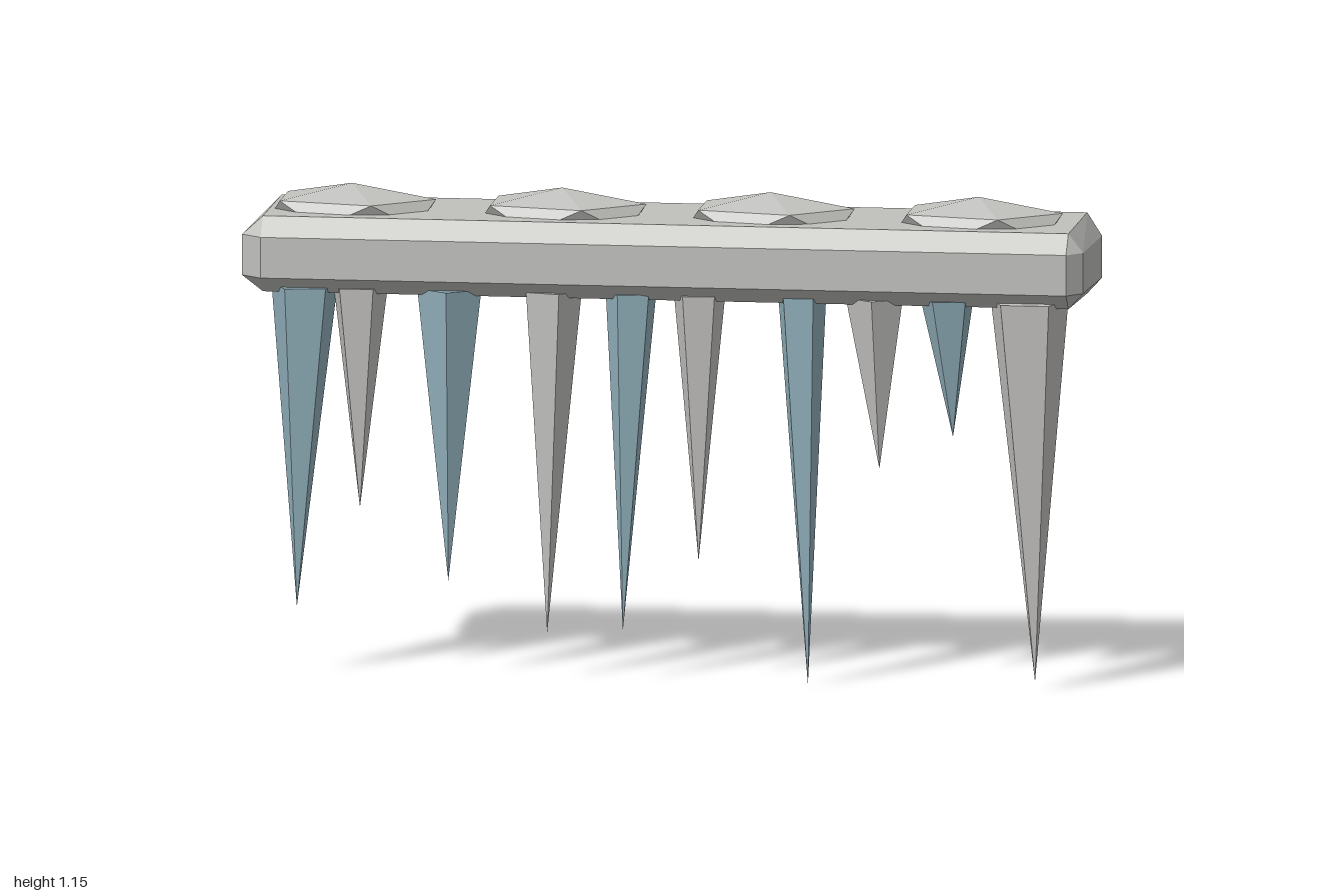
import * as THREE from 'three';
import { ConvexGeometry } from 'three/addons/geometries/ConvexGeometry.js';

const stone = new THREE.MeshStandardMaterial({ color: 0xc0c1bd });
stone.name = 'stone grey';
const paleIce = new THREE.MeshStandardMaterial({ color: 0xc5c4c2 });
paleIce.name = 'pale ice';
const blueIce = new THREE.MeshStandardMaterial({ color: 0x92b1bc });
blueIce.name = 'blue ice';

const V = (x, y, z) => new THREE.Vector3(x, y, z);

// Slightly uneven chamfered bar: three points at each of the eight corners
function beamGeometry() {
  const points = [];
  for (const sx of [-1, 1]) for (const sy of [-1, 1]) for (const sz of [-1, 1]) {
    const xIn = sx * (sx > 0 ? 0.965 : 0.95);
    const yOut = sy > 0 ? 1.097 : (sz > 0 ? 0.917 : 0.904);
    const yIn = sy > 0 ? (sz > 0 ? 1.052 : 1.042) : (sz > 0 ? 0.955 : 0.942);
    const zOut = sz > 0 ? 0.197 : -0.205;
    const zIn = sz > 0 ? 0.155 : -0.165;
    points.push(V(sx, yIn, zIn), V(xIn, yOut, zIn), V(xIn, yIn, zOut));
  }
  return new ConvexGeometry(points);
}

// Squashed twenty-sided gem with its poles along y
function knobGeometry() {
  const ry = 0.063;
  const points = [V(0, ry, 0), V(0, -ry, 0)];
  for (let i = 0; i < 10; i++) {
    const a = i * Math.PI / 5;
    const up = i % 2 === 0 ? 1 : -1;
    points.push(V(0.2 * Math.cos(a), up * ry * 0.447, 0.125 * Math.sin(a)));
  }
  return new ConvexGeometry(points);
}

// Five-sided spike hanging from y = 0.93, leaning to its tip
function icicleGeometry(x, r, tipX, tipY, turn) {
  const top = 0.93, h = top - tipY;
  const g = new THREE.ConeGeometry(r, h, 5, 1).toNonIndexed();
  g.rotateX(Math.PI).rotateY(turn).translate(x, top - h / 2, 0.123);
  const p = g.attributes.position;
  for (let i = 0; i < p.count; i++) {
    const t = (top - p.getY(i)) / h;
    p.setX(i, p.getX(i) + t * (tipX - x));
    p.setZ(i, p.getZ(i) - t * 0.008);
  }
  g.computeVertexNormals();
  return g;
}

export function createModel() {
  const model = new THREE.Group();
  model.name = 'icicleLedge';
  const add = (name, geometry, material) => {
    const mesh = new THREE.Mesh(geometry, material);
    mesh.name = name;
    model.add(mesh);
    return mesh;
  };

  add('beam', beamGeometry(), stone);

  // Knobs along the top
  const knob = knobGeometry();
  [-0.76, -0.26, 0.235, 0.73].forEach((x, i) => {
    add('knob' + (i + 1), knob, stone).position.set(x, 1.092, 0);
  });

  // Icicles: centre x, radius, tip x, tip y, turn; colours alternate
  const icicles = [
    [-0.855, 0.082, -0.875, 0.16, 0.15],
    [-0.725, 0.068, -0.725, 0.40, 0],
    [-0.508, 0.080, -0.515, 0.23, Math.PI],
    [-0.268, 0.071, -0.28, 0.11, -0.25],
    [-0.078, 0.063, -0.10, 0.12, 0.2],
    [0.083, 0.064, 0.08, 0.29, 0.1],
    [0.325, 0.060, 0.34, 0, 0],
    [0.502, 0.071, 0.51, 0.52, Math.PI],
    [0.673, 0.066, 0.685, 0.60, 0.2],
    [0.865, 0.097, 0.88, 0.02, 0.03],
  ];
  icicles.forEach((spec, i) => {
    add('icicle' + (i + 1), icicleGeometry(...spec), i % 2 ? paleIce : blueIce);
  });

  return model;
}
